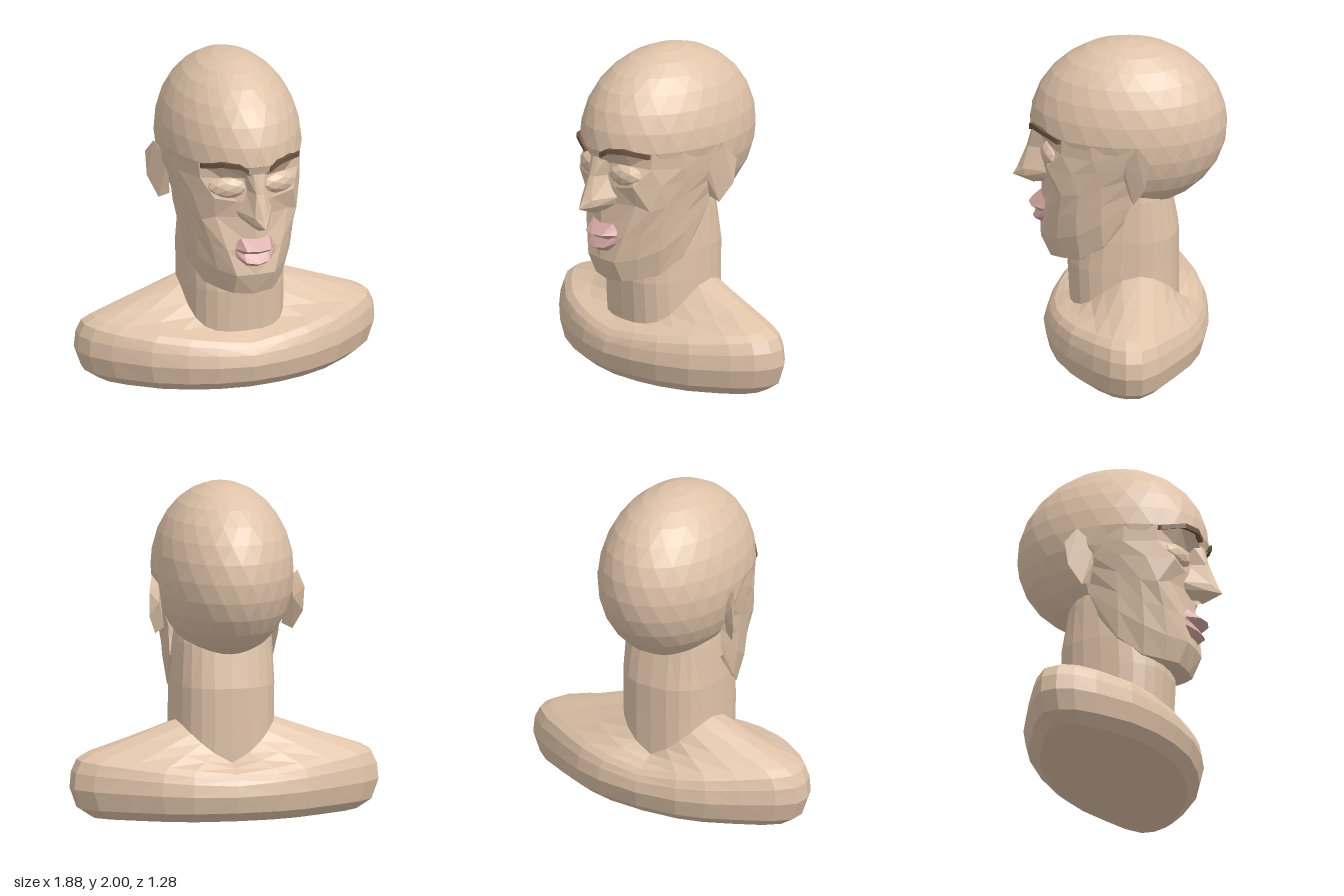
import * as THREE from 'three';
import { ConvexGeometry } from 'three/addons/geometries/ConvexGeometry.js';

const makeMaterial = (name, color) => {
  const m = new THREE.MeshStandardMaterial({ color, side: THREE.DoubleSide });
  m.name = name;
  return m;
};

// Unshared vertices give every facet its own normal
function faceted(geometry) {
  const g = geometry.index ? geometry.toNonIndexed() : geometry;
  g.computeVertexNormals();
  return g;
}

// Surface through rows of points, rows going up and columns going to +x on the front
function loft(rows) {
  const pos = [];
  const last = rows[0].length - 1;
  for (let i = 0; i < rows.length - 1; i++) {
    for (let j = 0; j < last; j++) {
      const a = rows[i][j], b = rows[i][j + 1], c = rows[i + 1][j + 1], d = rows[i + 1][j];
      const tris = j < last / 2 ? [a, b, d, b, c, d] : [a, b, c, a, c, d];
      tris.forEach((p) => pos.push(...p));
    }
  }
  const g = new THREE.BufferGeometry();
  g.setAttribute('position', new THREE.Float32BufferAttribute(pos, 3));
  return faceted(g);
}

// Half rows start on the centre line and run round the +x side
const mirrored = (rows) => rows.map((r) =>
  [...r.slice(1).reverse().map(([x, y, z]) => [-x, y, z]), ...r]);

export function createModel() {
  const model = new THREE.Group();
  model.name = 'bust';
  const skin = makeMaterial('skin', 0xdfc3a9);
  const lipPink = makeMaterial('lip pink', 0xd6a8a3);
  const browBrown = makeMaterial('brow brown', 0x6e5640);

  const add = (name, geometry, material = skin) => {
    const mesh = new THREE.Mesh(geometry, material);
    mesh.name = name;
    model.add(mesh);
    return mesh;
  };

  // Rounded-square neck section, from front to back
  const STEPS = 12;
  const soft = (v) => Math.sign(v) * Math.pow(Math.abs(v), 0.8);
  const neckRing = (y, rx, front, back) => Array.from({ length: STEPS + 1 }, (_, j) => {
    const s = Math.sin((j / STEPS) * Math.PI);
    const c = Math.cos((j / STEPS) * Math.PI);
    const mid = (front + back) / 2, rz = (front - back) / 2;
    return [j % STEPS ? rx * soft(s) : 0, y, mid + rz * soft(c)];
  });

  // Shoulders: one plan outline, scaled level by level, then drawn up to the neck
  const outline = [
    [0, 0.46], [0.22, 0.435], [0.4, 0.385], [0.6, 0.29], [0.8, 0.13], [0.9, 0.02], [0.94, -0.08],
    [0.93, -0.18], [0.83, -0.27], [0.64, -0.37], [0.45, -0.46], [0.27, -0.51], [0, -0.53],
  ];
  const level = (sx, sz, y, rise) => outline.map(([x, z]) =>
    [x * sx, y + rise * (x / 0.94), -0.04 + (z + 0.04) * sz]);
  // The collar climbs from the throat to a peak just behind the middle
  const collar = neckRing(0.34, 0.31, 0.3, -0.35).map(([x, y, z]) => {
    const t = z > -0.12 ? (z + 0.12) / 0.42 : (-0.12 - z) / 0.23;
    const lift = Math.max(0, Math.cos((Math.min(t, 1) * Math.PI) / 2));
    return [x, y + 0.24 * Math.pow(lift, z > -0.12 ? 1.8 : 0.5), z];
  });
  const shoulderTop = level(0.89, 0.87, 0.29, 0.095);
  const slope = shoulderTop.map((p, j) => p.map((v, k) => v + (collar[j][k] - v) * 0.5));
  add('shoulders', loft(mirrored([
    level(0, 0, 0, 0),
    level(0.86, 0.81, 0, 0),
    level(0.955, 0.95, 0.06, 0),
    level(1, 1, 0.16, 0.02),
    level(0.99, 0.97, 0.225, 0.055),
    level(0.955, 0.93, 0.26, 0.09),
    shoulderTop, slope, collar,
  ])));

  // Neck
  add('neck', loft(mirrored([
    neckRing(0.25, 0.31, 0.3, -0.35),
    neckRing(0.6, 0.31, 0.32, -0.35),
    neckRing(0.79, 0.31, 0.3, -0.35),
    neckRing(1.05, 0.295, 0.2, -0.3),
    neckRing(1.2, 0.28, 0.1, -0.25),
  ])));

  // Skull: an egg with staggered rows, its lower front pulled in behind the face
  const COLS = 24, ROWS = 14;
  const skull = new THREE.SphereGeometry(1, COLS, ROWS);
  const p = skull.attributes.position;
  for (let i = 0; i < p.count; i++) {
    const row = Math.floor(i / (COLS + 1));
    const turn = ((i % (COLS + 1)) - row / 2) * ((2 * Math.PI) / COLS);
    const tilt = (row / ROWS) * Math.PI;
    let x = -0.423 * Math.cos(turn) * Math.sin(tilt);
    let z = -0.05 + 0.593 * Math.sin(turn) * Math.sin(tilt);
    if (row > ROWS / 2 && z > -0.05) {
      x *= 0.95;
      z = Math.min(z, 0.3);
    }
    p.setXYZ(i, x, 1.47 + 0.53 * Math.cos(tilt), z);
  }
  add('skull', faceted(skull));

  // Face: under the chin, chin, mouth, cheek hollow, cheekbone, eye socket, brow
  add('face', loft(mirrored([
    [[0, 0.64, 0.3], [0.1, 0.64, 0.3], [0.15, 0.64, 0.26], [0.22, 0.65, 0.18], [0.27, 0.74, 0.06], [0.27, 0.9, -0.04]],
    [[0, 0.62, 0.43], [0.12, 0.63, 0.41], [0.18, 0.64, 0.34], [0.25, 0.66, 0.23], [0.31, 0.77, 0.09], [0.32, 0.96, -0.04]],
    [[0, 0.76, 0.48], [0.12, 0.76, 0.47], [0.21, 0.78, 0.37], [0.29, 0.83, 0.25], [0.335, 0.93, 0.1], [0.335, 1.08, -0.09]],
    [[0, 0.92, 0.475], [0.17, 0.92, 0.44], [0.25, 0.95, 0.36], [0.31, 0.98, 0.25], [0.345, 1.05, 0.1], [0.34, 1.15, -0.1]],
    [[0, 1.12, 0.47], [0.23, 1.13, 0.39], [0.3, 1.1, 0.34], [0.335, 1.12, 0.24], [0.36, 1.18, 0.1], [0.37, 1.25, -0.1]],
    [[0, 1.24, 0.48], [0.11, 1.23, 0.45], [0.25, 1.26, 0.43], [0.34, 1.26, 0.28], [0.378, 1.28, 0.12], [0.4, 1.33, -0.1]],
    [[0, 1.36, 0.5], [0.08, 1.38, 0.45], [0.2, 1.38, 0.41], [0.31, 1.37, 0.34], [0.387, 1.36, 0.15], [0.412, 1.4, -0.1]],
    [[0, 1.47, 0.543], [0.1, 1.47, 0.53], [0.22, 1.47, 0.46], [0.32, 1.47, 0.338], [0.393, 1.47, 0.16], [0.42, 1.47, -0.1]],
  ])));

  // Nose, from its base up to the bridge
  add('nose', loft(mirrored([
    [[0, 1.055, 0.52], [0.025, 1.07, 0.5], [0.04, 1.08, 0.42]],
    [[0, 1.105, 0.645], [0.05, 1.115, 0.57], [0.1, 1.125, 0.42]],
    [[0, 1.15, 0.62], [0.045, 1.16, 0.585], [0.12, 1.17, 0.42]],
    [[0, 1.3, 0.56], [0.025, 1.3, 0.55], [0.06, 1.3, 0.44]],
    [[0, 1.42, 0.53], [0.035, 1.42, 0.52], [0.07, 1.42, 0.48]],
  ])));

  // Lips, from the lower edge up
  add('lips', loft(mirrored([
    [[0, 0.81, 0.475], [0.06, 0.82, 0.465], [0.1, 0.85, 0.45]],
    [[0, 0.84, 0.525], [0.07, 0.85, 0.51], [0.12, 0.88, 0.455]],
    [[0, 0.895, 0.49], [0.08, 0.9, 0.48], [0.125, 0.915, 0.45]],
    [[0, 0.93, 0.55], [0.075, 0.93, 0.53], [0.125, 0.93, 0.455]],
    [[0, 0.985, 0.475], [0.09, 0.995, 0.455], [0.115, 0.96, 0.44]],
  ])), lipPink);

  // Paired features
  for (const side of [1, -1]) {
    const label = side > 0 ? 'left' : 'right';

    // Eye: a broad, shallow lens set in the socket
    const eye = add(label + 'Eye', faceted(new THREE.IcosahedronGeometry(1, 1)));
    eye.scale.set(0.125, 0.075, 0.07);
    eye.position.set(side * 0.16, 1.315, 0.4);
    eye.rotation.y = side * 0.3;

    // Brow: a thin bent bar along an arch, tapering to closed ends
    const arch = [[0.07, 1.445, 0.545], [0.12, 1.48, 0.537], [0.21, 1.487, 0.488], [0.31, 1.453, 0.366]];
    const bar = arch.map(([x, y, z]) =>
      [[-0.015, -0.03], [-0.015, 0], [0.015, 0], [0.015, -0.03], [-0.015, -0.03]]
        .map(([dy, dz]) => [side * x, y + dy, z + dz]));
    const end = (ring) => ring.map(() => ring[0]);
    const rings = [end(bar[0]), ...bar, end(bar[3])];
    add(label + 'Brow', loft(side > 0 ? rings.reverse() : rings), browBrown);

    // Ear: thin wedge flaring out towards the back
    add(label + 'Ear', faceted(new ConvexGeometry([
      [0.39, 1.36, -0.03], [0.38, 1.25, -0.04], [0.36, 1.13, -0.07],
      [0.445, 1.46, -0.12], [0.475, 1.37, -0.19], [0.47, 1.22, -0.17], [0.42, 1.1, -0.1],
      [0.4, 1.4, -0.12], [0.41, 1.3, -0.17],
    ].map(([x, y, z]) => new THREE.Vector3(side * x, y, z)))));
  }

  return model;
}
